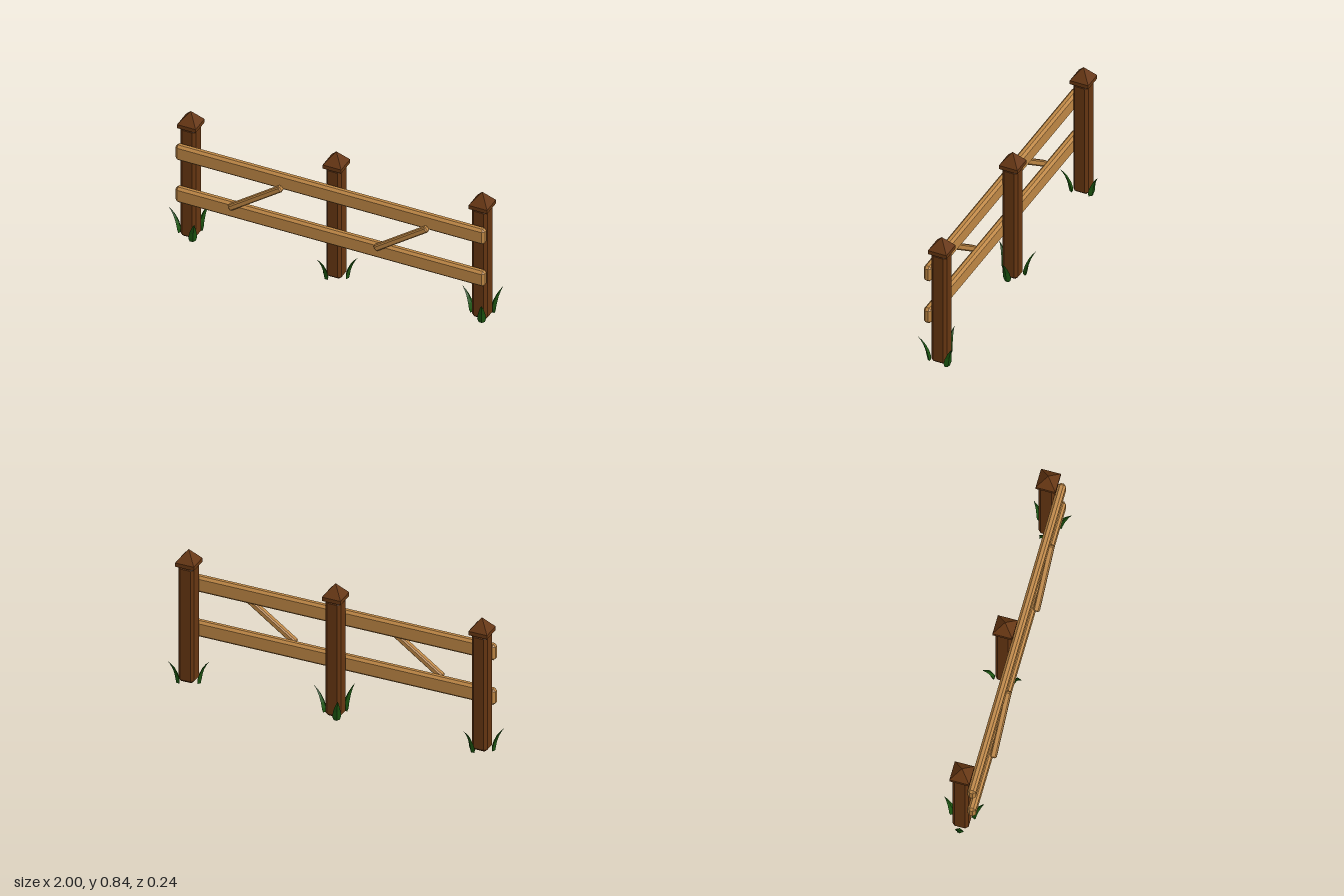
import * as THREE from 'three';
import { ConvexGeometry } from 'three/addons/geometries/ConvexGeometry.js';

const flat = (name, color) => {
  const m = new THREE.MeshStandardMaterial({ color, flatShading: true });
  m.name = name;
  return m;
};

// Box of half sizes hx, hy, hz with every edge chamfered by c
function chamferBox(hx, hy, hz, c) {
  const pts = [];
  for (const x of [-1, 1]) for (const y of [-1, 1]) for (const z of [-1, 1]) {
    pts.push(new THREE.Vector3(x * hx, y * (hy - c), z * (hz - c)));
    pts.push(new THREE.Vector3(x * (hx - c), y * hy, z * (hz - c)));
    pts.push(new THREE.Vector3(x * (hx - c), y * (hy - c), z * hz));
  }
  return new ConvexGeometry(pts);
}

// Grass blade leaning out along +x: a tapered diamond section swept upwards
function bladeGeometry() {
  // height, outward offset, half thickness, half width
  const rows = [
    [0, 0.068, 0.010, 0.017],
    [0.025, 0.071, 0.012, 0.025],
    [0.06, 0.079, 0.010, 0.021],
    [0.10, 0.095, 0.007, 0.013],
    [0.13, 0.113, 0.004, 0.006],
    [0.152, 0.131, 0.0003, 0.0003],
  ];
  const pos = [], idx = [];
  for (const [y, r, t, w] of rows) pos.push(r + t, y, 0, r, y, w, r - t, y, 0, r, y, -w);
  for (let i = 0; i < rows.length - 1; i++) {
    for (let j = 0; j < 4; j++) {
      const a = i * 4 + j, b = i * 4 + (j + 1) % 4;
      idx.push(a, a + 4, b, b, a + 4, b + 4);
    }
  }
  idx.push(0, 1, 2, 0, 2, 3);
  const g = new THREE.BufferGeometry();
  g.setAttribute('position', new THREE.Float32BufferAttribute(pos, 3));
  g.setIndex(idx);
  g.computeVertexNormals();
  return g;
}

export function createModel() {
  const darkWood = flat('dark wood', 0x663611);
  const lightWood = flat('light wood', 0xbd8644);
  const green = flat('grass green', 0x1c5610);
  green.side = THREE.DoubleSide;

  const fence = new THREE.Group();
  fence.name = 'fence';
  const add = (parent, name, geo, mat, x, y, z) => {
    const m = new THREE.Mesh(geo, mat);
    m.name = name;
    m.position.set(x, y, z);
    parent.add(m);
    return m;
  };

  // Posts with pointed caps and three grass blades each
  const postGeo = chamferBox(0.047, 0.371, 0.047, 0.016);
  const capBase = new THREE.BoxGeometry(0.114, 0.024, 0.114);
  const capTop = new THREE.ConeGeometry(0.057 * Math.SQRT2, 0.073, 4).rotateY(Math.PI / 4);
  const blade = bladeGeometry();
  for (const [x, turn] of [[-0.87, 176], [0.024, 0], [0.92, 187]]) {
    const post = new THREE.Group();
    post.name = 'post';
    post.position.x = x;
    add(post, 'postShaft', postGeo, darkWood, 0, 0.371, 0);
    add(post, 'capBase', capBase, darkWood, 0, 0.752, 0);
    add(post, 'capPoint', capTop, darkWood, 0, 0.8005, 0);
    for (let i = 0; i < 3; i++) {
      const b = add(post, 'grassBlade', blade, green, 0, 0, 0);
      b.rotation.y = -THREE.MathUtils.degToRad(turn + i * 120);
    }
    fence.add(post);
  }

  // Horizontal rails on the front of the posts
  const railGeo = chamferBox(0.949, 0.051, 0.0235, 0.014);
  for (const y of [0.306, 0.592]) add(fence, 'rail', railGeo, lightWood, 0.0235, y, 0.0675);

  // Diagonal braces on the front of the rails
  const braceGeo = chamferBox(0.196, 0.018, 0.018, 0.007);
  for (const x of [-0.424, 0.471]) {
    add(fence, 'brace', braceGeo, lightWood, x, 0.448, 0.1).rotation.z = 0.622;
  }
  return fence;
}
